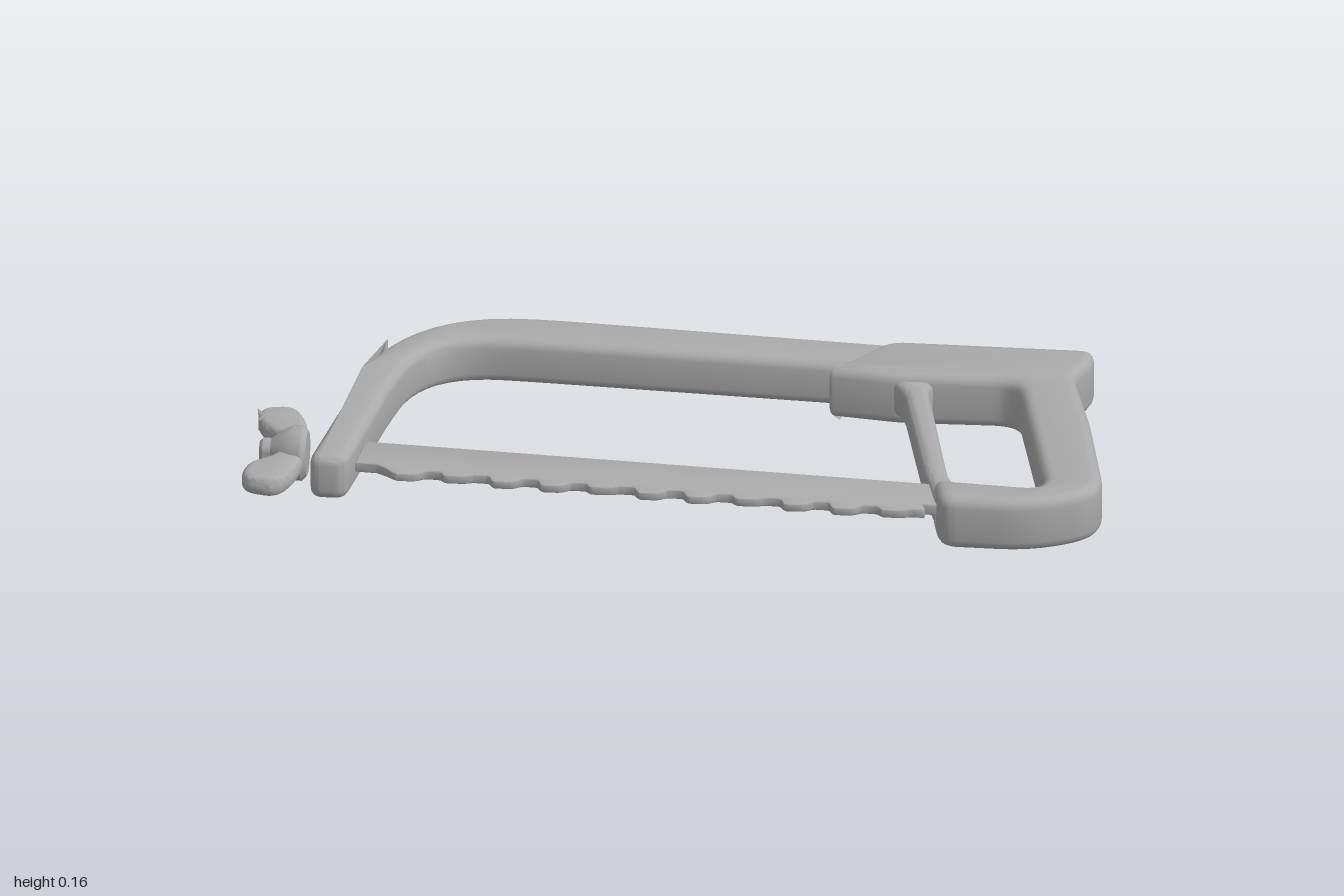
import * as THREE from 'three';
import { toCreasedNormals } from 'three/addons/utils/BufferGeometryUtils.js';

const steel = new THREE.MeshStandardMaterial({ color: 0xaaaaaa });
steel.name = 'plain grey';

// Closed outline from [x, z, cornerCut] points seen from above
function outline(points) {
  const pts = points.map(([x, z]) => new THREE.Vector2(x, -z));
  const n = pts.length;
  const shape = new THREE.Shape();
  points.forEach(([, , cut = 0], i) => {
    const p = pts[i];
    const toward = (q) => p.clone().add(q.clone().sub(p).setLength(cut));
    const a = toward(pts[(i + n - 1) % n]);
    const b = toward(pts[(i + 1) % n]);
    if (i === 0) shape.moveTo(a.x, a.y);
    else shape.lineTo(a.x, a.y);
    if (cut > 0) shape.quadraticCurveTo(p.x, p.y, b.x, b.y);
  });
  return shape;
}

// Lay an outline flat between two heights, with rounded rims
function slab(points, y0, y1, bevel) {
  const g = new THREE.ExtrudeGeometry(outline(points), {
    depth: y1 - y0 - 2 * bevel, curveSegments: 10, bevelEnabled: true,
    bevelThickness: bevel, bevelSize: bevel, bevelOffset: -bevel, bevelSegments: 4,
  });
  g.rotateX(-Math.PI / 2);
  g.translate(0, y0 + bevel, 0);
  return g;
}

// Change each vertex height by a rule
function reshapeHeight(g, rule) {
  const p = g.attributes.position;
  for (let i = 0; i < p.count; i++) p.setY(i, rule(p.getX(i), p.getY(i), p.getZ(i)));
  return g;
}

function addPart(parent, name, geometry) {
  const mesh = new THREE.Mesh(toCreasedNormals(geometry, 0.6), steel);
  mesh.name = name;
  parent.add(mesh);
  return mesh;
}

export function createModel() {
  const saw = new THREE.Group();
  saw.name = 'hacksaw';

  // Bent frame, rising slightly toward its free end
  const frame = slab([
    [0.44, -0.4], [-0.35, -0.4, 0.05], [-0.7, -0.385, 0.28], [-0.775, -0.1, 0.1],
    [-0.845, 0.375, 0.035], [-0.755, 0.37, 0.03], [-0.705, 0.0, 0.06],
    [-0.655, -0.26, 0.18], [-0.4, -0.268, 0.05], [0.44, -0.278],
  ], 0.022, 0.137, 0.024);
  addPart(saw, 'frame', reshapeHeight(frame, (x, y) => y - 0.012 * x));

  // Handle: front sleeve, rear grip and lower foot
  addPart(saw, 'handle', slab([
    [0.285, -0.25, 0.02], [0.41, -0.415, 0.04], [0.895, -0.435, 0.04],
    [0.89, -0.365, 0.025], [0.862, -0.3, 0.03], [0.93, -0.08, 0.05],
    [1.012, 0.26, 0.09], [0.85, 0.35, 0.08], [0.635, 0.357, 0.04],
    [0.605, 0.25, 0.03], [0.872, 0.258, 0.06], [0.735, -0.255, 0.06],
    [0.46, -0.235, 0.03],
  ], 0, 0.135, 0.026));

  // Slimmer bar closing the hand opening
  addPart(saw, 'handleBar', slab([
    [0.42, -0.27], [0.6, -0.27], [0.525, -0.24, 0.03], [0.64, 0.22, 0.05],
    [0.7, 0.28], [0.62, 0.31], [0.575, 0.18, 0.03], [0.475, -0.2, 0.04],
  ], 0.025, 0.118, 0.02));

  // Blade: scalloped teeth, thick back, thin cutting edge
  const edge = [[0.635, 0.225], [-0.73, 0.232], [-0.74, 0.325], [-0.69, 0.325], [-0.665, 0.34]];
  for (let i = 0; i < 11; i++) {
    const x = -0.64 + i * 0.114;
    const deep = i % 3 === 1 ? 0.352 : 0.36;
    edge.push([x, deep, 0.008], [x + 0.045, deep - 0.004, 0.012],
      [x + 0.066, 0.338, 0.008], [x + 0.1, 0.337, 0.006]);
  }
  edge.push([0.59, 0.315], [0.635, 0.315]);
  const blade = slab(edge, -0.022, 0.022, 0.006);
  addPart(saw, 'blade', reshapeHeight(blade, (x, y, z) =>
    0.09 - 0.014 * x + y * THREE.MathUtils.clamp(1 - (z - 0.23) * 4, 0.5, 1)));

  // Wing nut: rounded hub with its axis along x, end stud and curved wings
  const nut = new THREE.Group();
  nut.name = 'wingNut';
  nut.position.set(-0.86, 0.095, 0.263);
  saw.add(nut);
  const hub = new THREE.LatheGeometry([
    [0, 0], [0.055, 0], [0.068, 0.012], [0.068, 0.035], [0.05, 0.065],
    [0.032, 0.085], [0.032, 0.104], [0.024, 0.112], [0, 0.112],
  ].map(([r, h]) => new THREE.Vector2(r, h)), 24);
  hub.scale(1, 1, 0.8);
  hub.rotateZ(Math.PI / 2);
  addPart(nut, 'hub', hub);

  const wings = slab([
    [0, 0, 0.05], [-0.012, -0.1, 0.04], [-0.05, -0.165, 0.035],
    [-0.14, -0.15, 0.045], [-0.125, -0.085, 0.025], [-0.065, -0.035, 0.03],
    [-0.065, 0.035, 0.03], [-0.13, 0.08, 0.025], [-0.145, 0.15, 0.045],
    [-0.05, 0.165, 0.035], [-0.012, 0.1, 0.04],
  ], -0.025, 0.025, 0.018);
  // Opposite wings lean slightly up and down
  addPart(nut, 'wings', reshapeHeight(wings, (x, y, z) => y - 0.1 * z));

  return saw;
}
